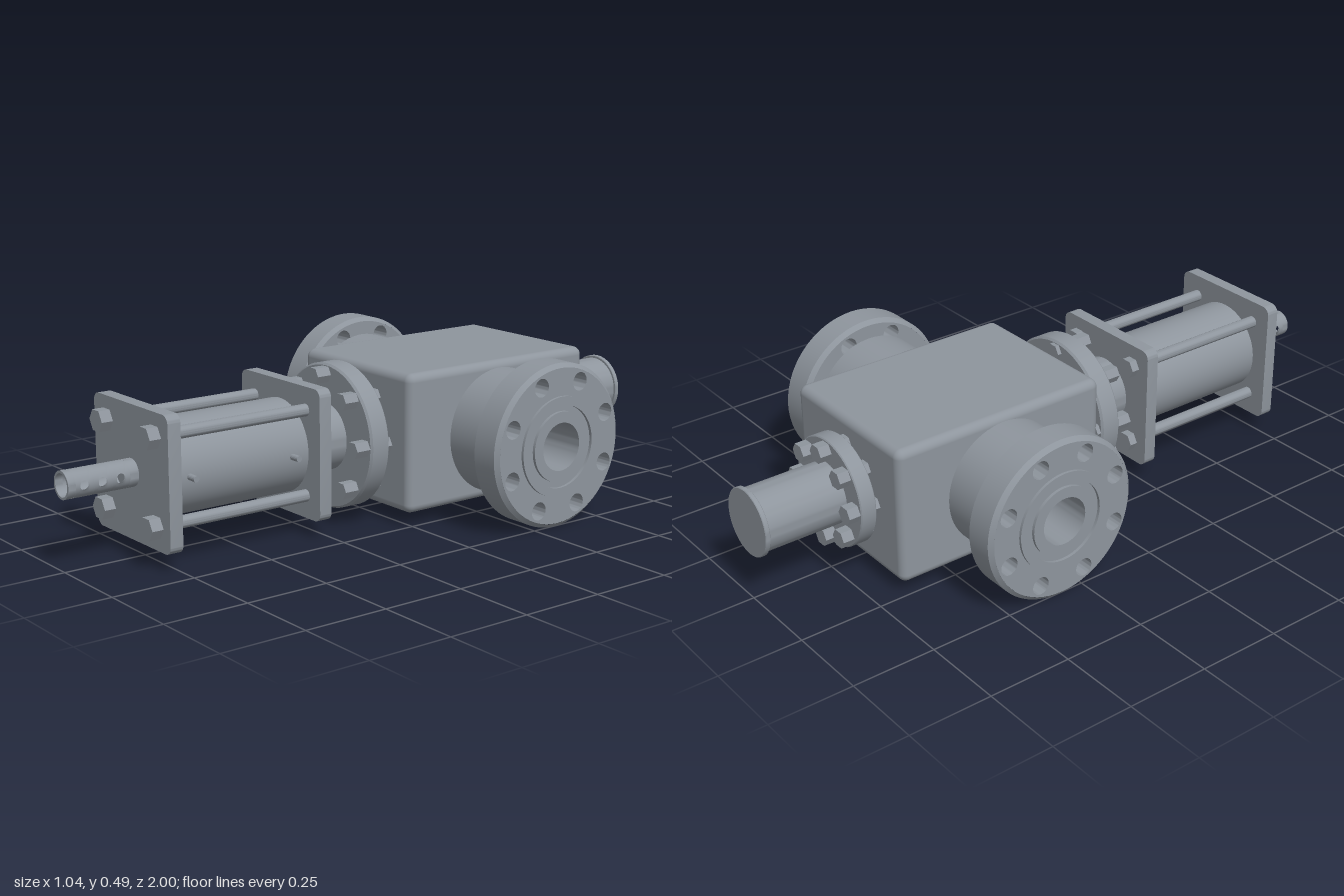
import * as THREE from 'three';
import { toCreasedNormals } from 'three/addons/utils/BufferGeometryUtils.js';
import { RoundedBoxGeometry } from 'three/addons/geometries/RoundedBoxGeometry.js';

const steel = new THREE.MeshStandardMaterial({ color: 0x8e959d });
const steelDouble = new THREE.MeshStandardMaterial({ color: 0x8e959d, side: THREE.DoubleSide });
const pale = new THREE.MeshStandardMaterial({ color: 0xd2ced1 });
const CY = 0.2425; // height of the main axis
const BORE_Z = -0.328; // z of the side pipes

function add(parent, name, geometry, material = steel) {
  const mesh = new THREE.Mesh(geometry, material);
  mesh.name = name;
  parent.add(mesh);
  return mesh;
}

// Turned part along z; profile is [radius, z] with z rising on the outside
function turned(profile, segments = 64) {
  const g = new THREE.LatheGeometry(profile.map(([r, z]) => new THREE.Vector2(r, z)), segments);
  return toCreasedNormals(g.rotateX(Math.PI / 2), 0.5);
}

// Solid round bar along z from z0 to z1 with a small chamfer
function bar(r, z0, z1, c = 0, segments = 64) {
  const p = c
    ? [[0, z0], [r - c, z0], [r, z0 + c], [r, z1 - c], [r - c, z1], [0, z1]]
    : [[0, z0], [r, z0], [r, z1], [0, z1]];
  return turned(p, segments);
}

// Hexagon along z with corners pointing to the sides
function hex(r, z0, z1) {
  const g = new THREE.CylinderGeometry(r, r, z1 - z0, 6).rotateY(Math.PI / 6).rotateX(Math.PI / 2);
  return toCreasedNormals(g.translate(0, 0, (z0 + z1) / 2), 0.5);
}

function circlePath(x, y, r) {
  return new THREE.Path().absarc(x, y, r, 0, Math.PI * 2, true);
}

function ringOfBolts(parent, name, count, circle, z0, z1, r) {
  for (let i = 0; i < count; i++) {
    const a = (i / count) * Math.PI * 2;
    add(parent, name, hex(r, z0, z1)).position.set(Math.cos(a) * circle, Math.sin(a) * circle, 0);
  }
}

// Square plate with rounded corners
function plate(half, radius, z0, z1) {
  const s = new THREE.Shape(), k = half - radius;
  s.absarc(k, k, radius, 0, Math.PI / 2);
  s.absarc(-k, k, radius, Math.PI / 2, Math.PI);
  s.absarc(-k, -k, radius, Math.PI, Math.PI * 1.5);
  s.absarc(k, -k, radius, Math.PI * 1.5, Math.PI * 2);
  s.closePath();
  const g = new THREE.ExtrudeGeometry(s, { depth: z1 - z0, bevelEnabled: false, curveSegments: 8 });
  return toCreasedNormals(g.translate(0, 0, z0), 0.5);
}

// Half-tube wall with one round hole: a grid from the hole's edge to the wall's edge, bent round z
function holedWall(r, z, halfLength, holeR) {
  const g = new THREE.PlaneGeometry(1, 1, 48, 6), p = g.attributes.position;
  for (let i = 0; i < p.count; i++) {
    const a = (p.getX(i) + 0.5) * Math.PI * 2, t = p.getY(i) + 0.5;
    const c = Math.cos(a), s = Math.sin(a), m = Math.max(Math.abs(c), Math.abs(s));
    const angle = THREE.MathUtils.lerp((holeR / r) * c, (Math.PI / 2) * c / m, t);
    const along = THREE.MathUtils.lerp(holeR * s, halfLength * s / m, t);
    p.setXYZ(i, r * Math.cos(angle), r * Math.sin(angle), z + along);
  }
  g.computeVertexNormals();
  return g;
}

// Side pipe with bolted flange, built along +z
function sidePipe() {
  const g = new THREE.Group();
  g.name = 'sidePipe';
  add(g, 'pipe', turned([[0.188, 0.23], [0.188, 0.409]]));
  add(g, 'flangeRim', turned([[0.23, 0.408], [0.2425, 0.42], [0.2425, 0.501], [0.23, 0.513]], 96));
  const face = new THREE.Shape().absarc(0, 0, 0.23, 0, Math.PI * 2, false);
  face.holes.push(circlePath(0, 0, 0.125));
  for (let i = 0; i < 8; i++) {
    const a = ((i + 0.5) / 8) * Math.PI * 2;
    face.holes.push(circlePath(Math.cos(a) * 0.196, Math.sin(a) * 0.196, 0.027));
  }
  const disc = new THREE.ExtrudeGeometry(face, { depth: 0.105, bevelEnabled: false, curveSegments: 32 });
  add(g, 'flangeDisc', toCreasedNormals(disc.translate(0, 0, 0.408), 0.5));
  // raised sealing face with a ring groove, running into the bore
  add(g, 'sealingFace', turned([[0.148, 0.51], [0.148, 0.521], [0.122, 0.521], [0.122, 0.512],
    [0.104, 0.512], [0.104, 0.521], [0.071, 0.521], [0.071, 0.256]]));
  add(g, 'gate', new THREE.CircleGeometry(0.073, 48).translate(0, 0, 0.258), pale);
  return g;
}

export function createModel() {
  const model = new THREE.Group();
  model.name = 'gateValve';

  // Main block
  add(model, 'body', new RoundedBoxGeometry(0.505, 0.414, 0.692, 5, 0.025)).position.set(0, 0.244, -0.33);

  // Pipes to both sides
  for (const side of [-1, 1]) {
    const pipe = sidePipe();
    pipe.rotation.y = side * Math.PI / 2;
    pipe.position.set(0, CY, BORE_Z);
    model.add(pipe);
  }

  const axis = new THREE.Group();
  axis.name = 'actuator';
  axis.position.y = CY;
  model.add(axis);

  // Front bonnet
  add(axis, 'bonnetNeck', bar(0.132, 0, 0.07));
  add(axis, 'bonnetFlange', bar(0.217, 0.058, 0.125, 0.006));
  ringOfBolts(axis, 'bonnetBolt', 8, 0.186, 0.12, 0.172, 0.026);
  ringOfBolts(axis, 'bonnetNut', 8, 0.186, 0.045, 0.062, 0.026);
  add(axis, 'yoke', bar(0.1, 0.12, 0.26));

  // Cylinder between two plates held by tie rods
  add(axis, 'rearPlate', plate(0.192, 0.025, 0.25, 0.29));
  add(axis, 'frontPlate', plate(0.192, 0.025, 0.745, 0.785));
  add(axis, 'cylinder', bar(0.138, 0.28, 0.75));
  for (const x of [-0.125, 0.125]) for (const y of [-0.125, 0.125]) {
    add(axis, 'tieRod', bar(0.018, 0.28, 0.75, 0, 20)).position.set(x, y, 0);
    add(axis, 'tieRodHead', hex(0.034, 0.78, 0.82)).position.set(x, y, 0);
    add(axis, 'tieRodNut', hex(0.03, 0.225, 0.255)).position.set(x, y, 0);
  }
  for (const z of [0.345, 0.685]) {
    const port = add(axis, 'port', bar(0.009, 0.12, 0.17, 0, 16));
    port.rotation.y = Math.PI / 2;
    port.position.z = z;
  }

  // Hollow stem with cross holes
  const outer = 0.04, inner = 0.033, holes = [0.84, 0.895, 0.95], half = 0.0275;
  const z0 = holes[0] - half, z1 = holes[2] + half;
  add(axis, 'stemBase', turned([[outer, 0.78], [outer, z0]], 32));
  add(axis, 'stemTip', turned([[outer, z1], [outer, 1], [inner, 1], [inner, z1]], 32), steelDouble);
  for (const z of holes) for (const r of [outer, inner]) for (const turn of [0, Math.PI]) {
    add(axis, 'stemWall', holedWall(r, z, half, 0.014), steelDouble).rotation.z = turn;
  }

  // Rear flange and capped tube
  add(axis, 'tailNeck', bar(0.11, -0.7, -0.66));
  add(axis, 'tailFlange', bar(0.163, -0.742, -0.692, 0.003));
  ringOfBolts(axis, 'tailBolt', 8, 0.132, -0.777, -0.738, 0.028);
  ringOfBolts(axis, 'tailNut', 8, 0.132, -0.695, -0.677, 0.026);
  add(axis, 'tailTube', bar(0.092, -0.99, -0.73));
  add(axis, 'tailCap', bar(0.1, -1, -0.985, 0.002));

  return model;
}
